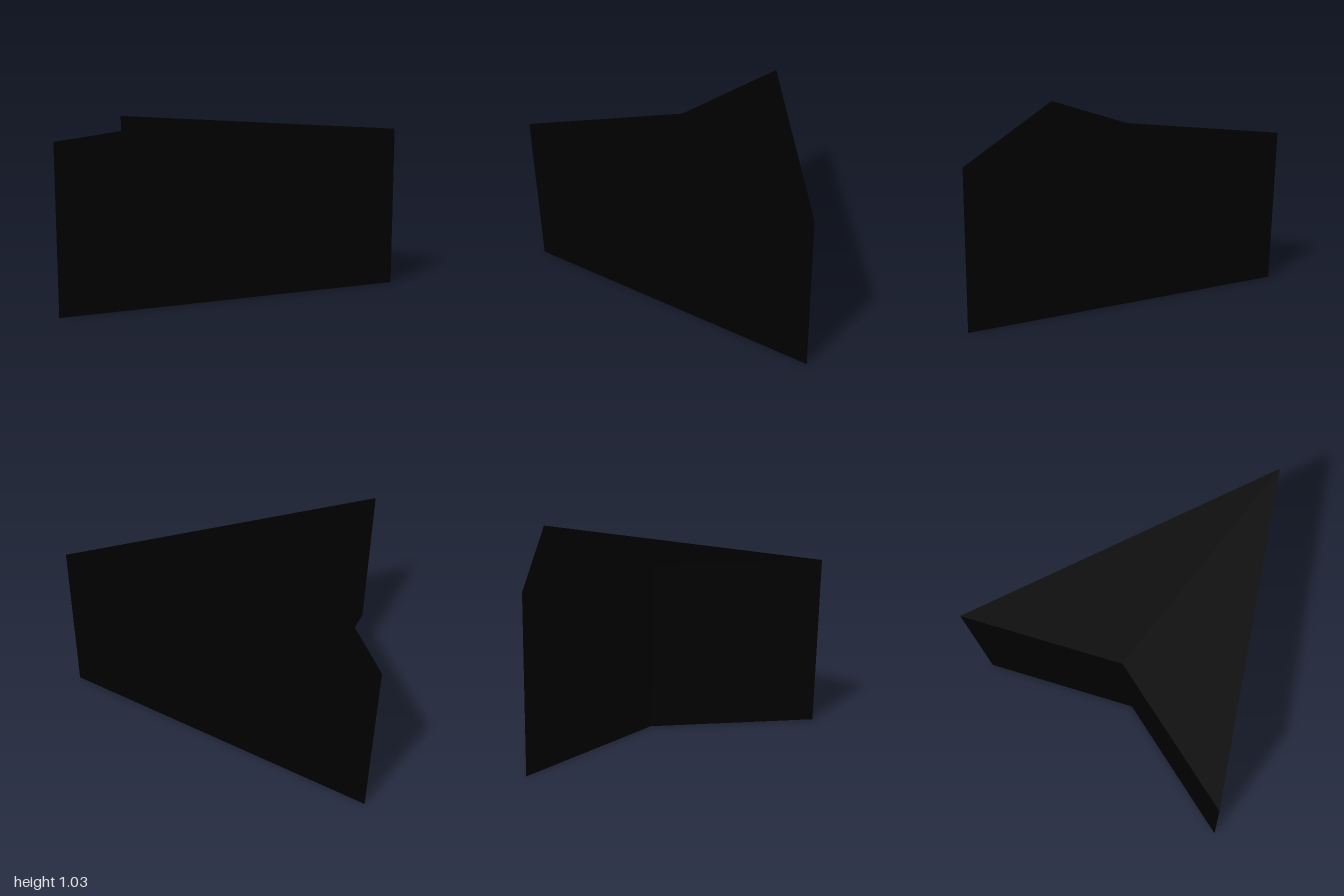
import * as THREE from 'three';

export function createModel() {
  const group = new THREE.Group();
  group.name = 'arrowhead';

  // Notched arrowhead outline, pointing to +x
  const outline = new THREE.Shape([
    new THREE.Vector2(1, 0),
    new THREE.Vector2(-1, 0.98),
    new THREE.Vector2(-0.645, 0),
    new THREE.Vector2(-1, -0.98),
  ]);

  // Upright prism standing on the ground
  const geometry = new THREE.ExtrudeGeometry(outline, { depth: 1.03, bevelEnabled: false });
  geometry.rotateX(-Math.PI / 2);

  const body = new THREE.Mesh(
    geometry,
    new THREE.MeshStandardMaterial({ color: 0x000000 })
  );
  body.name = 'arrowheadBody';
  group.add(body);
  return group;
}
